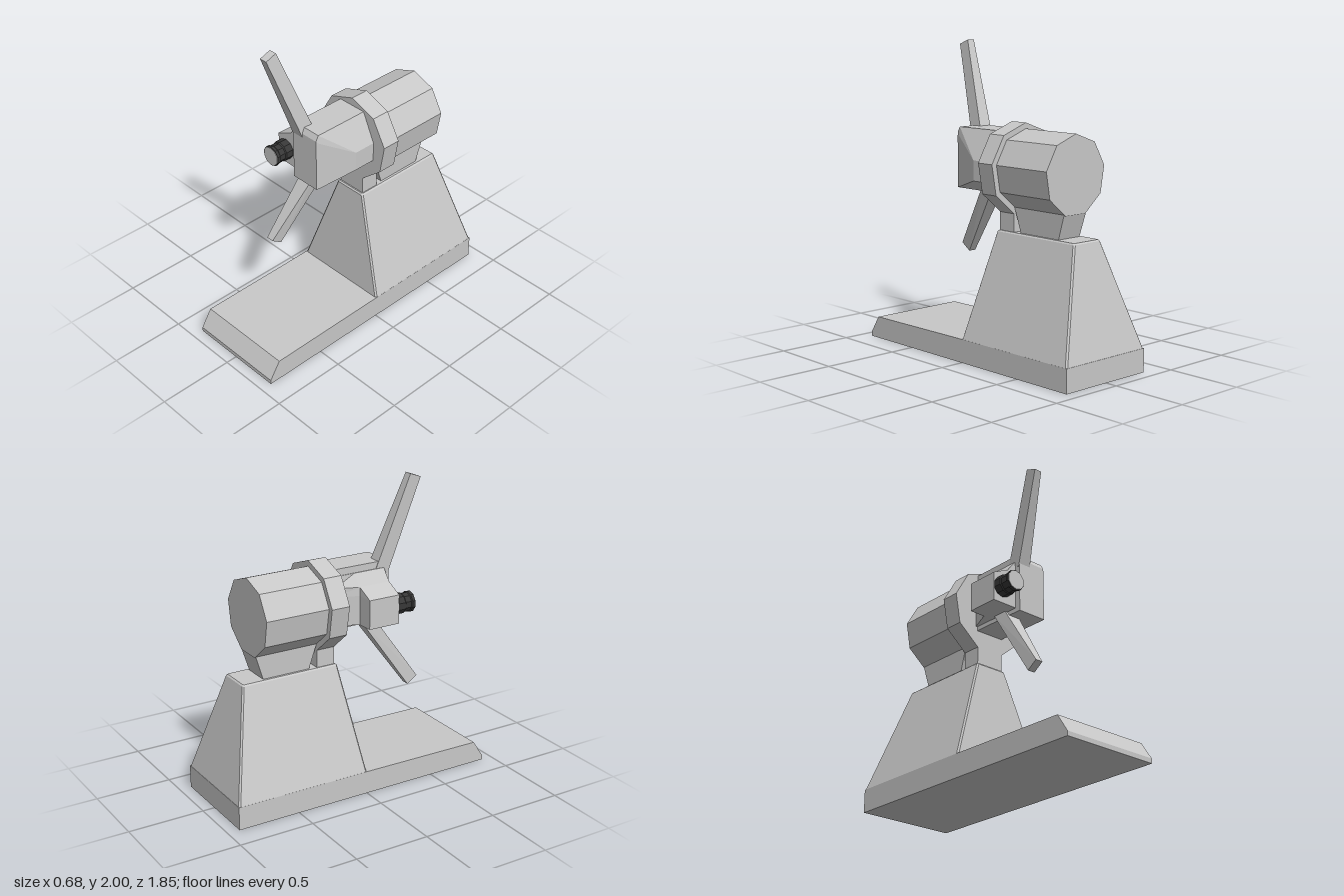
import * as THREE from 'three';

const paint = new THREE.MeshStandardMaterial({ name: 'grey paint', color: 0xc8c8c8, flatShading: true });
const black = new THREE.MeshStandardMaterial({ name: 'black rubber', color: 0x383838, flatShading: true });

// Skins a list of matching cross-sections and caps both ends
function loft(sections) {
  const pos = [], n = sections[0].length;
  const tri = (a, b, c) => pos.push(...a, ...b, ...c);
  for (let s = 0; s < sections.length - 1; s++) {
    const p = sections[s], q = sections[s + 1];
    for (let i = 0; i < n; i++) {
      const j = (i + 1) % n;
      tri(p[i], p[j], q[j]);
      tri(p[i], q[j], q[i]);
    }
  }
  const first = sections[0], last = sections[sections.length - 1];
  for (let i = 1; i < n - 1; i++) {
    tri(first[0], first[i + 1], first[i]);
    tri(last[0], last[i], last[i + 1]);
  }
  // Turn the faces outward when the sections run the other way
  let volume = 0;
  const a = new THREE.Vector3(), b = new THREE.Vector3(), c = new THREE.Vector3();
  for (let i = 0; i < pos.length; i += 9) {
    a.fromArray(pos, i); b.fromArray(pos, i + 3); c.fromArray(pos, i + 6);
    volume += a.dot(b.cross(c));
  }
  if (volume < 0) {
    for (let i = 0; i < pos.length; i += 9) {
      for (let k = 0; k < 3; k++) [pos[i + 3 + k], pos[i + 6 + k]] = [pos[i + 6 + k], pos[i + 3 + k]];
    }
  }
  const g = new THREE.BufferGeometry();
  g.setAttribute('position', new THREE.Float32BufferAttribute(pos, 3));
  g.computeVertexNormals();
  return g;
}

// Horizontal rectangle with clipped corners
function rect(y, hx, z0, z1, c) {
  return [[hx - c, y, z1], [hx, y, z1 - c], [hx, y, z0 + c], [hx - c, y, z0],
    [-hx + c, y, z0], [-hx, y, z0 + c], [-hx, y, z1 - c], [-hx + c, y, z1]];
}

// Upright section from x, y pairs
const slice = (z, pts) => pts.map(([x, y]) => [x, y, z]);

// Rectangular end of a lever; front and back edges given as [y, z]
const bar = (x0, x1, [y0, z0], [y1, z1]) => [[x0, y0, z0], [x1, y0, z0], [x1, y1, z1], [x0, y1, z1]];

export function createModel() {
  const model = new THREE.Group();
  model.name = 'pedestalMachine';
  const add = (name, geometry, material = paint) => {
    const mesh = new THREE.Mesh(geometry, material);
    mesh.name = name;
    model.add(mesh);
    return mesh;
  };

  // Base slab with a sloped front edge
  const side = [[0, 0.925], [0.03, 0.925], [0.145, 0.85], [0.152, 0], [0.152, -0.92], [0, -0.92]];
  add('base', loft([-0.338, 0.338].map(x => side.map(([y, z]) => [x, y, z]))));

  // Tapered pedestal with narrow bevels
  add('pedestal', loft([
    rect(0.15, 0.338, -0.918, 0, 0.01),
    rect(0.825, 0.115, -0.757, -0.083, 0.01),
    rect(0.834, 0.106, -0.748, -0.092, 0.008),
  ]));

  // Supports below the motor
  add('frontSupport', new THREE.BoxGeometry(0.2, 0.2, 0.125)).position.set(0, 0.92, -0.1625);
  add('rearSupport', loft([
    rect(0.825, 0.09, -0.6, -0.28, 0),
    rect(0.99, 0.095, -0.652, -0.225, 0),
    rect(1.05, 0.095, -0.652, -0.225, 0),
  ].map(s => [s[0], s[2], s[4], s[6]])));

  // Nine-sided motor and collar
  const drum = (name, r, z0, z1) => {
    const g = new THREE.CylinderGeometry(r, r, z1 - z0, 9).rotateX(-Math.PI / 2);
    add(name, g).position.set(0, 1.22, (z0 + z1) / 2);
  };
  drum('motor', 0.2515, -0.655, -0.2);
  drum('collar', 0.289, -0.225, -0.1);

  // Gear head, swelling on its left side
  const head = (x, low, mid, edge, top) => [[-0.105, 1.062], [0.1, 1.062], [x, low], [x, mid], [edge, top], [-0.105, top]];
  add('head', loft([
    slice(-0.11, head(0.19, 1.135, 1.265, 0.1, 1.455)),
    slice(0.05, head(0.19, 1.135, 1.265, 0.1, 1.455)),
    slice(0.28, head(0.109, 1.067, 1.4, 0.1, 1.455)),
    slice(0.3, head(0.101, 1.064, 1.39, 0.1, 1.42)),
  ]));

  // Side housing on the right of the head
  const housing = [[-0.1, 1.09], [-0.285, 1.09], [-0.285, 1.28], [-0.17, 1.335], [-0.11, 1.41], [-0.1, 1.41]];
  const clipped = limit => housing.map(([x, y]) => [Math.max(x, limit), y]);
  add('sideHousing', loft([
    slice(-0.105, clipped(-0.115)),
    slice(0.043, clipped(-0.175)),
    slice(0.045, housing),
    slice(0.262, housing),
  ]));

  // Knob with a slight waist and a pale end plate
  const knob = [[0, 0.25], [0.068, 0.25], [0.068, 0.315], [0.062, 0.322], [0.062, 0.362], [0.068, 0.368], [0.068, 0.388], [0, 0.388]]
    .map(([r, z]) => new THREE.Vector2(r, z));
  add('knob', new THREE.LatheGeometry(knob, 10).rotateX(Math.PI / 2), black).position.set(-0.217, 1.197, 0);
  const plate = new THREE.CylinderGeometry(0.063, 0.063, 0.006, 10).rotateX(Math.PI / 2);
  add('knobPlate', plate).position.set(-0.217, 1.197, 0.388);

  // Two tapered levers
  add('upperLever', loft([
    bar(-0.107, -0.015, [1.37, 0.293], [1.41, 0.205]),
    bar(-0.15, -0.097, [1.972, 0.5], [2, 0.424]),
  ]));
  add('lowerLever', loft([
    bar(-0.122, -0.01, [1.11, 0.17], [1.11, 0.07]),
    bar(-0.158, -0.106, [0.648, 0.495], [0.6, 0.425]),
  ]));

  return model;
}
